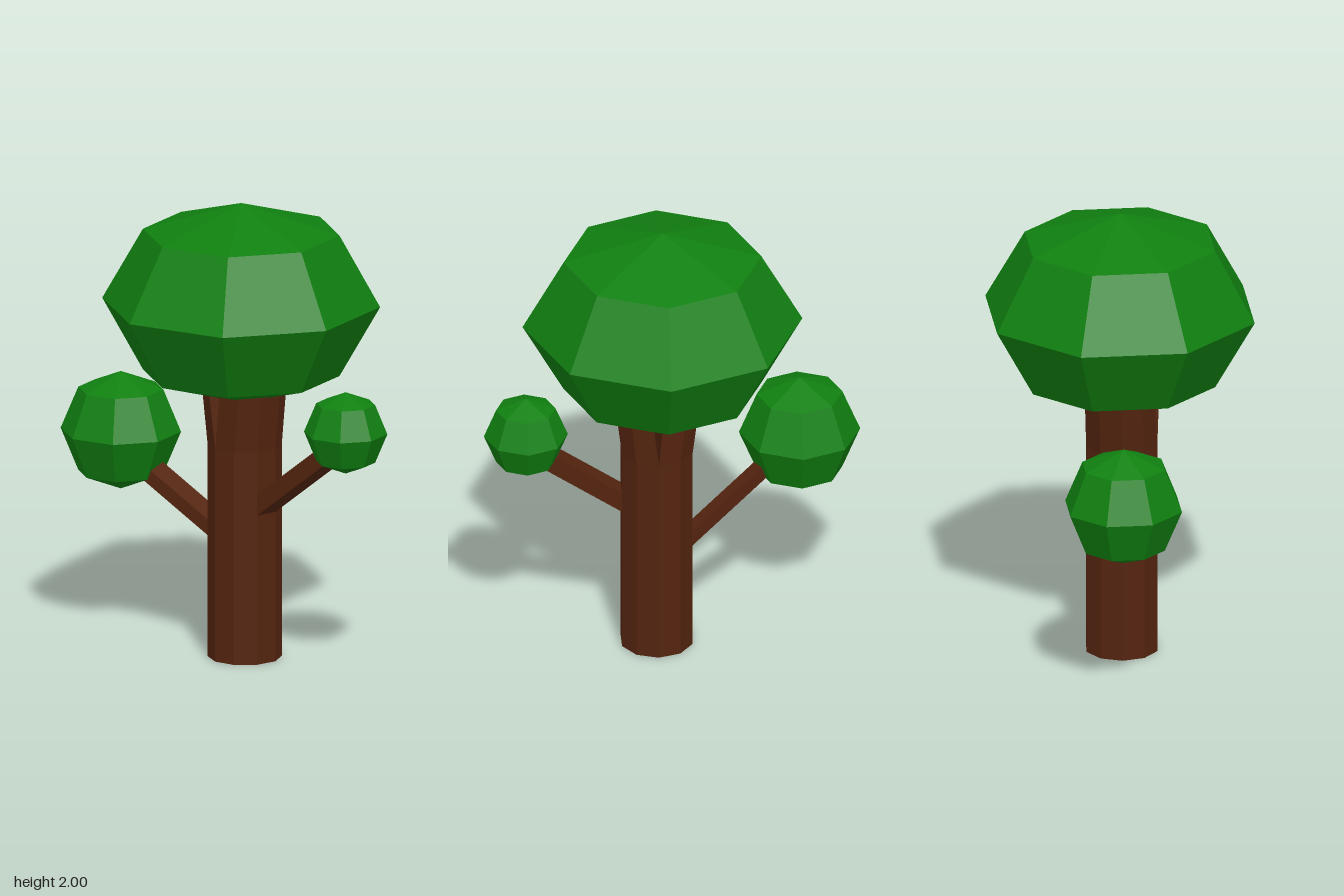
import * as THREE from 'three';
import { ConvexGeometry } from 'three/addons/geometries/ConvexGeometry.js';

const TRUNK_X = 0.065, TRUNK_R = 0.159, FORK_Y = 0.94;

export function createModel() {
  const tree = new THREE.Group();
  tree.name = 'tree';
  const bark = new THREE.MeshStandardMaterial({ color: 0x54240f, flatShading: true });
  bark.name = 'brown bark';
  const leaf = new THREE.MeshStandardMaterial({ color: 0x108010, flatShading: true });
  leaf.name = 'green leaves';

  const add = (name, geometry, material) => {
    const mesh = new THREE.Mesh(geometry, material);
    mesh.name = name;
    tree.add(mesh);
    return mesh;
  };

  // Leaf clusters: faceted balls, eight sides and four bands
  const cluster = (name, x, y, z, r, ry = r) => {
    const mesh = add(name, new THREE.SphereGeometry(1, 8, 4), leaf);
    mesh.position.set(x, y, z);
    mesh.scale.set(r, ry, r);
  };
  cluster('canopy', 0.04, 1.56, 0, 0.6, 0.44);
  cluster('rightLeafBall', -0.56, 0.9, 0.19, 0.26);
  cluster('leftLeafBall', 0.633, 1.09, -0.11, 0.18);

  // Ten-sided trunk
  const trunk = add('trunk', new THREE.CylinderGeometry(TRUNK_R, TRUNK_R, FORK_Y, 10), bark);
  trunk.position.set(TRUNK_X, FORK_Y / 2, 0);

  // The trunk splits into two leaning halves that run up into the canopy
  const fork = (name, side, frontLean, backLean) => {
    const points = [];
    const topY = 1.3;
    for (let i = 0; i <= 5; i++) {
      const a = (i / 5) * Math.PI;
      const x = TRUNK_X + side * Math.sin(a) * TRUNK_R;
      const z = Math.cos(a) * TRUNK_R;
      const lean = THREE.MathUtils.lerp(frontLean, backLean, i / 5) * (topY - FORK_Y);
      points.push(new THREE.Vector3(x, FORK_Y, z));
      points.push(new THREE.Vector3(x + side * lean, topY, z));
    }
    add(name, new ConvexGeometry(points), bark);
  };
  fork('rightFork', -1, 0.18, 0.09);
  fork('leftFork', 1, 0.12, 0.12);

  // Side branches grow out of one trunk facet and slant into a leaf ball
  const branch = (name, start, end, halfHeight, halfDepth) => {
    const points = [];
    for (const [x, y, z] of [start, end])
      for (const sy of [-1, 1])
        for (const sz of [-1, 1])
          points.push(new THREE.Vector3(x, y + sy * halfHeight, z + sz * halfDepth));
    add(name, new ConvexGeometry(points), bark);
  };
  branch('rightBranch', [-0.086, 0.52, 0], [-0.52, 0.835, 0.2], 0.035, 0.049);
  branch('leftBranch', [0.216, 0.707, 0], [0.6, 1.02, -0.11], 0.046, 0.049);

  return tree;
}
